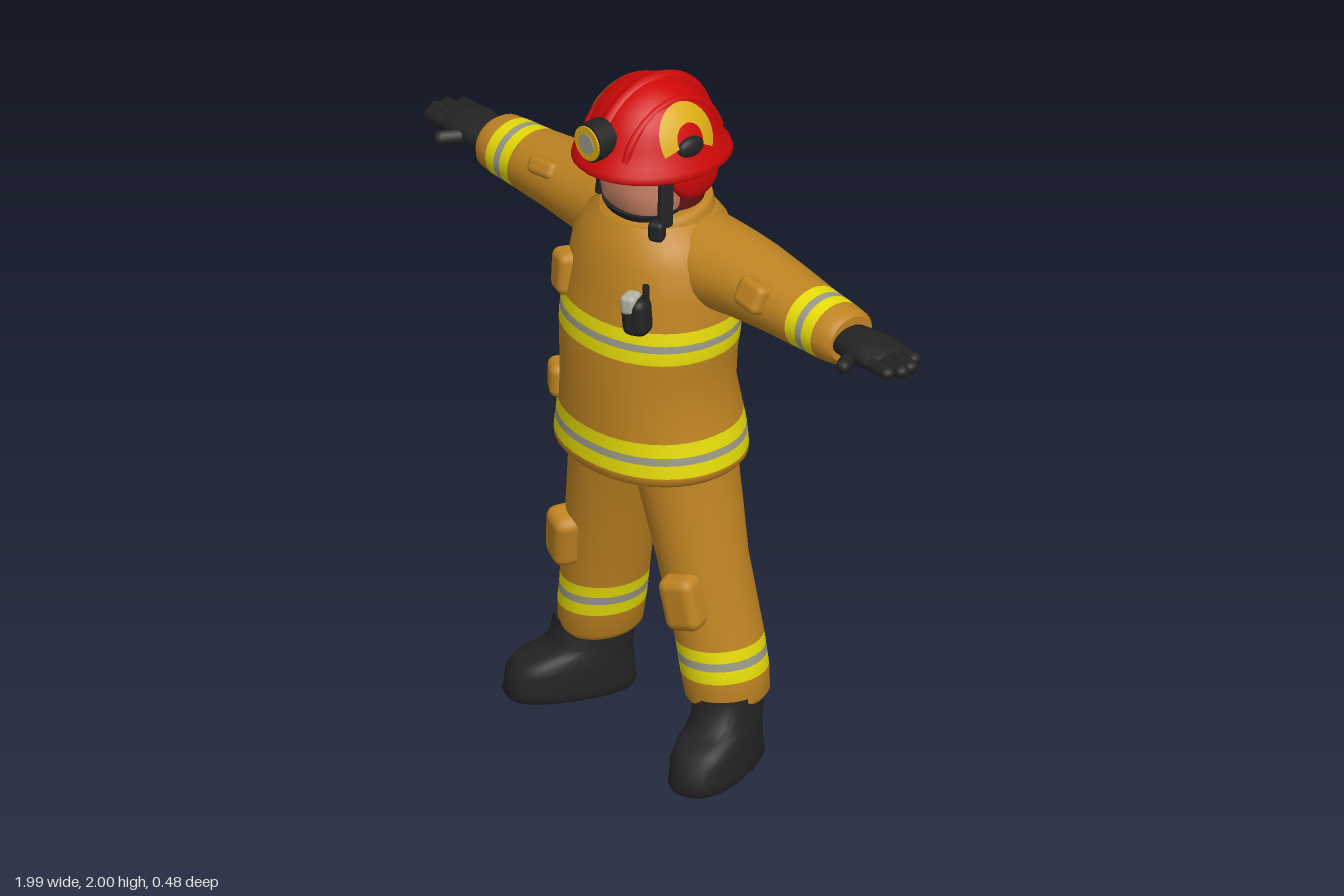
import * as THREE from 'three';
import { RoundedBoxGeometry } from 'three/addons/geometries/RoundedBoxGeometry.js';

const paint = (name, color) => {
  const m = new THREE.MeshStandardMaterial({ color });
  m.name = name;
  return m;
};

// Loft of horizontal oval rings, listed upward: [y, cx, cz, rx, rz, band].
// "band" picks the material of the strip above the ring; tilt slopes rings along z.
function loft(rings, { s = 1, n = 28, power = 1, tilt = 0 } = {}) {
  const pos = [], idx = [], geo = new THREE.BufferGeometry();
  const soft = v => Math.sign(v) * Math.abs(v) ** power;
  const addRing = ([y, cx, cz, rx, rz]) => {
    for (let j = 0; j < n; j++) {
      const t = j / n * Math.PI * 2, z = cz + rz * soft(Math.sin(t));
      pos.push(s * cx + rx * soft(Math.cos(t)), y + tilt * z, z);
    }
  };
  rings.forEach(addRing);
  for (let i = 0; i < rings.length - 1; i++) {
    geo.addGroup(idx.length, n * 6, rings[i][5] || 0);
    for (let j = 0; j < n; j++) {
      const a = i * n + j, b = i * n + (j + 1) % n;
      idx.push(a, a + n, b, b, a + n, b + n);
    }
  }
  // end caps with their own vertices, so the rims stay sharp
  [rings[0], rings[rings.length - 1]].forEach((r, top) => {
    const base = pos.length / 3;
    addRing(r);
    pos.push(s * r[1], r[0] + tilt * r[2], r[2]);
    geo.addGroup(idx.length, n * 3, 0);
    for (let j = 0; j < n; j++) {
      const a = base + j, b = base + (j + 1) % n;
      idx.push(base + n, ...(top ? [b, a] : [a, b]));
    }
  });
  geo.setAttribute('position', new THREE.Float32BufferAttribute(pos, 3));
  geo.setIndex(idx);
  geo.computeVertexNormals();
  return geo;
}

export function createModel() {
  const model = new THREE.Group();
  const coat = paint('coat tan', 0xc08422), yellow = paint('reflective yellow', 0xe8de08);
  const grey = paint('reflective grey', 0x9c9a88), black = paint('black', 0x232323);
  const red = paint('helmet red', 0xd00808), skin = paint('skin', 0xcc8468);
  const maroon = paint('hood maroon', 0x641614), gold = paint('helmet gold', 0xdcac14);
  const silver = paint('radio silver', 0xb4b2a4);
  gold.side = THREE.DoubleSide;
  const cloth = [coat, yellow, grey];

  const add = (name, geo, mat, p = [0, 0, 0], r = [0, 0, 0], parent = model) => {
    const m = new THREE.Mesh(geo, mat);
    m.name = name;
    m.position.set(...p);
    m.rotation.set(...r);
    parent.add(m);
    return m;
  };
  const box = (name, mat, size, p, r) =>
    add(name, new RoundedBoxGeometry(...size, 2, Math.min(...size) * 0.35), mat, p, r);
  const blob = (name, mat, size, p, r) =>
    add(name, new THREE.SphereGeometry(1, 18, 12), mat, p, r).scale.set(...size);

  // Jacket with two reflective bands
  add('jacket', loft([
    [0.87, 0, 0, 0.272, 0.228], [0.885, 0, 0, 0.285, 0.238], [0.9, 0, 0, 0.285, 0.238, 1],
    [0.938, 0, 0, 0.28, 0.236, 2], [0.96, 0, 0, 0.277, 0.234, 1], [1.0, 0, 0.003, 0.268, 0.23],
    [1.1, 0, 0.012, 0.25, 0.222], [1.19, 0, 0.01, 0.256, 0.222], [1.24, 0, 0.006, 0.264, 0.223, 1],
    [1.277, 0, 0.002, 0.265, 0.224, 2], [1.298, 0, 0, 0.264, 0.223, 1], [1.335, 0, -0.003, 0.26, 0.221],
    [1.42, 0, -0.01, 0.254, 0.21], [1.5, 0, -0.015, 0.24, 0.202], [1.56, 0, -0.02, 0.205, 0.182],
    [1.6, 0, -0.02, 0.15, 0.155]], { n: 40, power: 0.94 }), cloth);
  add('collar', loft([
    [1.55, 0, -0.015, 0.165, 0.168], [1.605, 0, -0.02, 0.152, 0.155],
    [1.622, 0, -0.02, 0.146, 0.15], [1.622, 0, -0.02, 0.125, 0.125]], { tilt: -0.12 }), coat);

  for (const s of [-1, 1]) {
    const side = s > 0 ? 'left' : 'right';
    const along = [0, 0, -s * Math.PI / 2];

    // Sleeve, lofted along x: [x, y, z, ry, rz, band]
    add(side + 'Sleeve', loft([
      [0.03, 1.49, -0.06, 0.115, 0.13], [0.16, 1.484, -0.065, 0.116, 0.14],
      [0.25, 1.478, -0.075, 0.118, 0.13], [0.32, 1.477, -0.08, 0.11, 0.125],
      [0.45, 1.475, -0.08, 0.099, 0.112], [0.58, 1.468, -0.08, 0.089, 0.1, 1],
      [0.618, 1.467, -0.08, 0.087, 0.097, 2], [0.642, 1.466, -0.08, 0.086, 0.096, 1],
      [0.68, 1.465, -0.08, 0.084, 0.093], [0.725, 1.465, -0.08, 0.078, 0.088],
      [0.742, 1.465, -0.08, 0.066, 0.074]], { s: -s }), cloth, [0, 0, 0], along);

    // Glove
    const glove = new THREE.Group();
    glove.name = side + 'Glove';
    model.add(glove);
    add('palm', loft([
      [0.72, 1.465, -0.078, 0.04, 0.06], [0.78, 1.47, -0.076, 0.042, 0.068],
      [0.84, 1.473, -0.078, 0.04, 0.077], [0.89, 1.472, -0.078, 0.029, 0.073],
      [0.91, 1.471, -0.078, 0.02, 0.062]], { s: -s, n: 20 }), black, [0, 0, 0], along, glove);
    [0.94, 0.968, 0.972, 0.955].forEach((x, i) => add('finger',
      new THREE.CapsuleGeometry(0.021, 0.09, 4, 8), black,
      [s * (x - 0.045), 1.47, -0.132 + i * 0.035], along, glove));
    add('thumb', new THREE.CapsuleGeometry(0.022, 0.07, 4, 8), black,
      [s * 0.825, 1.465, 0.002], [Math.PI / 2, 0, -s * 0.5], glove);

    // Trouser leg with ankle band
    add(side + 'TrouserLeg', loft([
      [0.185, 0.267, -0.045, 0.09, 0.108], [0.205, 0.265, -0.045, 0.106, 0.122],
      [0.275, 0.256, -0.042, 0.112, 0.127, 1], [0.312, 0.249, -0.041, 0.113, 0.127, 2],
      [0.336, 0.245, -0.04, 0.113, 0.127, 1], [0.37, 0.239, -0.038, 0.114, 0.127],
      [0.6, 0.19, -0.02, 0.116, 0.131], [0.76, 0.154, -0.014, 0.13, 0.142],
      [0.83, 0.136, -0.012, 0.137, 0.146], [0.9, 0.13, -0.01, 0.137, 0.148]], { s }), cloth);
    box(side + 'KneePocket', coat, [0.11, 0.16, 0.09], [s * 0.247, 0.515, 0.095], [0.06, s * 0.35, s * 0.17]);

    // Boot, turned outward
    add(side + 'Boot', loft([
      [0, 0, 0.052, 0.088, 0.178], [0.015, 0, 0.052, 0.097, 0.186], [0.035, 0, 0.052, 0.094, 0.182],
      [0.08, 0, 0.05, 0.094, 0.178], [0.108, 0, 0.038, 0.09, 0.162], [0.128, 0, 0.012, 0.087, 0.134],
      [0.15, 0, -0.01, 0.085, 0.116], [0.22, 0, -0.018, 0.082, 0.108]], { power: 0.8 }),
      black, [s * 0.288, 0, -0.018], [0, s * 0.38, 0]);

    // Chin strap and hood cheek
    box(side + 'ChinStrap', black, [0.022, 0.19, 0.045], [s * 0.125, 1.7, 0.055], [-0.08, 0, s * 0.06]);
    blob(side + 'EarGuard', red, [0.035, 0.075, 0.08], [s * 0.128, 1.735, -0.045]);
  }

  // Pouches on jacket and sleeves
  box('chestPocket', coat, [0.085, 0.125, 0.07], [-0.16, 1.39, 0.165], [-0.05, -0.35, 0]);
  box('waistPocket', coat, [0.09, 0.1, 0.07], [-0.195, 1.045, 0.155], [0, -0.6, 0]);
  box('leftSleevePouch', coat, [0.1, 0.085, 0.06], [0.45, 1.515, 0.02], [-0.4, 0, -0.1]);
  box('rightSleevePouch', coat, [0.1, 0.05, 0.05], [-0.44, 1.53, 0.005], [-0.5, 0, 0.1]);
  box('rightSleeveBackPouch', coat, [0.1, 0.09, 0.07], [-0.45, 1.475, -0.2]);

  // Chest radio
  box('radioBody', black, [0.075, 0.11, 0.07], [0.158, 1.39, 0.185], [0, 0.4, 0.08]);
  box('radioFace', silver, [0.048, 0.06, 0.06], [0.148, 1.428, 0.197], [0, 0.4, 0.08]);
  add('radioAntenna', new THREE.CylinderGeometry(0.009, 0.011, 0.07, 8), black, [0.178, 1.45, 0.17]);

  // Head
  add('face', loft([
    [1.57, 0, 0.01, 0.085, 0.075], [1.615, 0, 0.02, 0.1, 0.085], [1.645, 0, 0.025, 0.113, 0.104],
    [1.7, 0, 0.025, 0.121, 0.112], [1.82, 0, 0.025, 0.122, 0.112]], { power: 0.85 }), skin);
  add('hood', loft([
    [1.57, 0, -0.05, 0.115, 0.095], [1.64, 0, -0.05, 0.122, 0.095],
    [1.73, 0, -0.055, 0.142, 0.105], [1.82, 0, -0.055, 0.145, 0.11]]), maroon);
  add('chinBand', loft([
    [1.605, 0, 0.025, 0.104, 0.092], [1.63, 0, 0.025, 0.114, 0.106]], { power: 0.85 }), black);
  add('browBand', loft([
    [1.765, 0, 0.022, 0.128, 0.118], [1.82, 0, 0.022, 0.13, 0.12]], { power: 0.85 }), black);
  box('strapBuckle', black, [0.045, 0.06, 0.04], [0.13, 1.605, 0.09], [0, 0.5, 0]);

  // Helmet shell: an ellipsoid with a flared brim
  const R = { x: 0.174, y: 0.213, z: 0.2 }, Y = 1.78;
  const shell = [[1.76, 0, -0.003, 0.19, 0.227], [1.768, 0, -0.003, 0.198, 0.235],
    [1.785, 0, -0.002, 0.194, 0.229], [1.808, 0, 0, 0.18, 0.21]];
  for (let i = 1; i < 9; i++) {
    const a = 0.15 + i * 0.172, c = Math.cos(a);
    shell.push([Y + R.y * Math.sin(a), 0, 0, R.x * c, R.z * c]);
  }
  add('helmetShell', loft(shell, { n: 36, tilt: 0.05 }), red);

  // Crest and side ribs
  for (const k of [-0.5, 0, 0.5]) {
    const pts = [];
    for (let i = 0; i <= 12; i++) {
      const a = 0.3 + i / 12 * (Math.PI - 0.6), c = Math.sqrt(1 - k * k);
      pts.push(new THREE.Vector3(k * R.x, Y - 0.012 + R.y * c * Math.sin(a), R.z * c * Math.cos(a)));
    }
    add(k ? 'helmetRib' : 'helmetCrest',
      new THREE.TubeGeometry(new THREE.CatmullRomCurve3(pts), 24, k ? 0.014 : 0.022, 8), red);
  }

  // Gold horseshoes wrapped on the helmet sides, each around a black knob
  for (const s of [-1, 1]) {
    const mark = new THREE.RingGeometry(0.043, 0.09, 24, 3, -0.35, Math.PI + 0.9);
    const p = mark.attributes.position;
    for (let i = 0; i < p.count; i++) {
      const z = p.getX(i), y = 1.868 + p.getY(i);
      const d = 1 - ((y - Y) / R.y) ** 2 - (z / R.z) ** 2;
      p.setXYZ(i, s * (R.x * Math.sqrt(Math.max(d, 0.02)) + 0.008), y, z);
    }
    if (s > 0) mark.index.array.reverse();
    mark.computeVertexNormals();
    add('helmetMark', mark, gold);
    blob('helmetKnob', black, [0.02, 0.03, 0.045], [s * 0.163, 1.845, 0]);
  }

  // Front badge
  const disc = (name, r, h, z, mat) =>
    add(name, new THREE.CylinderGeometry(r, r, h, 20), mat, [0, 1.868, z], [Math.PI / 2, 0, 0]);
  disc('badgeMount', 0.056, 0.06, 0.195, black);
  disc('badgeRim', 0.05, 0.006, 0.227, gold);
  disc('badgeCentre', 0.03, 0.006, 0.23, grey);

  return model;
}
